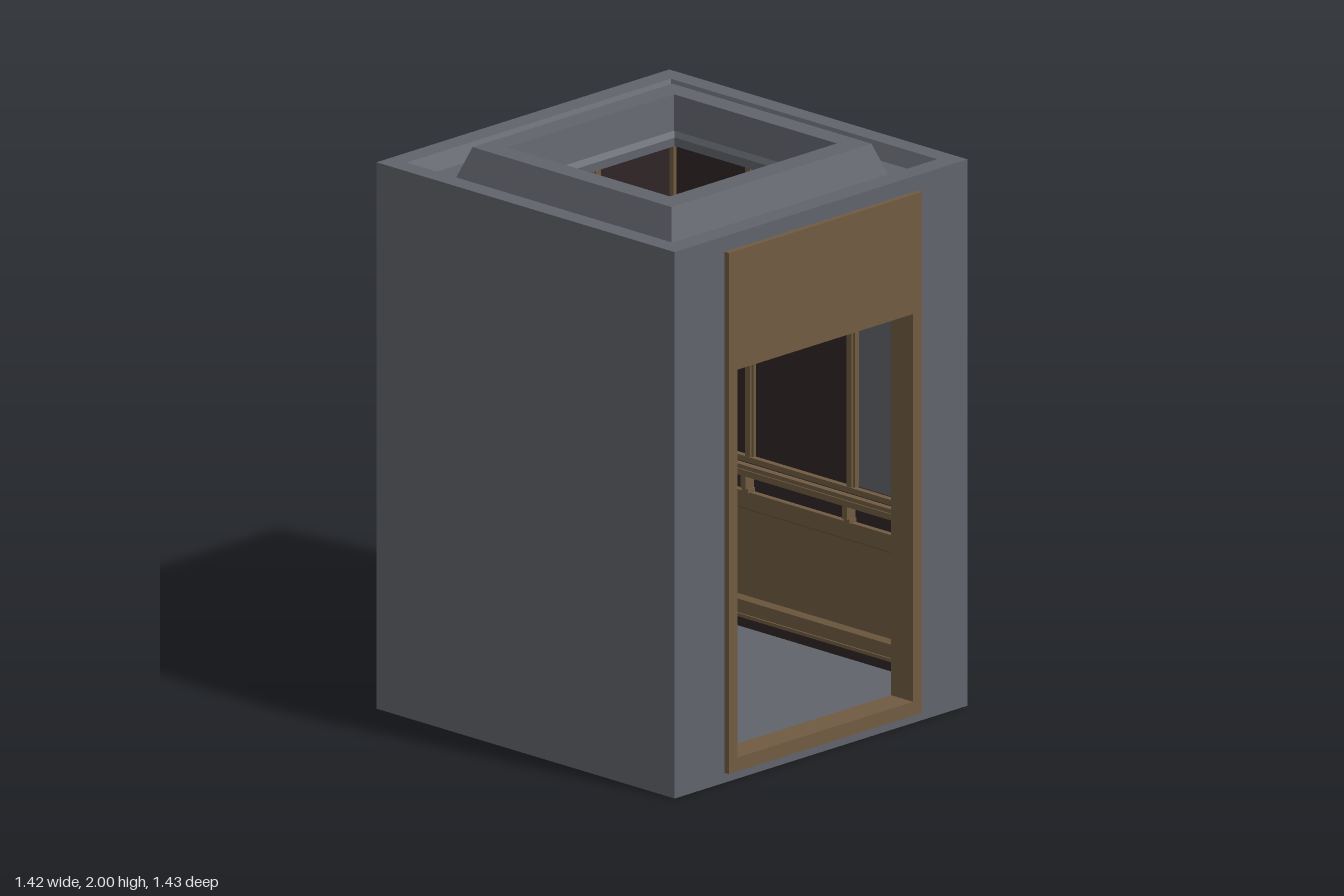
import * as THREE from 'three';

const mat = (name, color, extra = {}) => {
  const m = new THREE.MeshStandardMaterial({ color });
  m.name = name;
  return Object.assign(m, extra);
};

export function createModel() {
  const grey = mat('slate grey', 0x60636b);
  const wood = mat('brown wood', 0x705b41);
  const dark = mat('dark panel', 0x2e2425);
  const root = new THREE.Group();
  root.name = 'liftCabin';

  const add = (parent, name, geo, m, x = 0, y = 0, z = 0) => {
    const mesh = new THREE.Mesh(geo, m);
    mesh.name = name;
    mesh.position.set(x, y, z);
    parent.add(mesh);
    return mesh;
  };
  // box given by its minimum and maximum corners
  const box = (parent, name, m, x0, x1, y0, y1, z0, z1) =>
    add(parent, name, new THREE.BoxGeometry(x1 - x0, y1 - y0, z1 - z0), m,
      (x0 + x1) / 2, (y0 + y1) / 2, (z0 + z1) / 2);
  // closed rectangular moulding: profile entries are [halfX, halfZ, y]
  const moulding = (profile) => {
    const pos = [];
    const signs = [[1, 1], [1, -1], [-1, -1], [-1, 1]];
    const at = (p, k) => [p[0] * signs[k % 4][0], p[2], p[1] * signs[k % 4][1]];
    profile.forEach((p, i) => {
      const q = profile[(i + 1) % profile.length];
      for (let k = 0; k < 4; k++) {
        const a = at(p, k), b = at(p, k + 1), c = at(q, k + 1), d = at(q, k);
        pos.push(...a, ...b, ...c, ...a, ...c, ...d);
      }
    });
    const g = new THREE.BufferGeometry();
    g.setAttribute('position', new THREE.Float32BufferAttribute(pos, 3));
    g.computeVertexNormals();
    return g;
  };
  // upright plate with a rectangular opening; rects are [x0, x1, y0, y1]
  const plate = (outer, hole, depth) => {
    const trace = (path, [x0, x1, y0, y1]) =>
      path.moveTo(x0, y0).lineTo(x1, y0).lineTo(x1, y1).lineTo(x0, y1).closePath();
    const s = trace(new THREE.Shape(), outer);
    s.holes.push(trace(new THREE.Path(), hole));
    return new THREE.ExtrudeGeometry(s, { depth, bevelEnabled: false });
  };

  // outer shell
  const top = 1.83;
  box(root, 'floor', grey, -0.71, 0.71, 0, 0.08, -0.715, 0.695);
  box(root, 'backShell', grey, -0.71, 0.71, 0.08, top, -0.715, -0.62);
  for (const s of [-1, 1]) {
    const x = [s * 0.63, s * 0.71].sort((a, b) => a - b);
    box(root, 'sideShell', grey, x[0], x[1], 0.08, top, -0.62, 0.62);
  }
  add(root, 'frontShell', plate([-0.71, 0.71, 0.08, top], [-0.44, 0.44, 0.081, 1.48], 0.075), grey, 0, 0, 0.62);

  // roof with a sunken channel, a raised collar and an open hatch
  add(root, 'roof', moulding([
    [0.71, 0.705, top], [0.71, 0.705, 1.945], [0.64, 0.63, 1.945], [0.615, 0.605, 1.89],
    [0.525, 0.51, 1.89], [0.485, 0.47, 2], [0.405, 0.385, 2], [0.385, 0.365, 1.88],
    [0.375, 0.353, 1.86], [0.375, 0.353, top],
  ]), grey, 0, 0, -0.01);

  // door surround and its lining
  const opening = [-0.425, 0.425, 0.085, 1.465];
  add(root, 'doorFrame', plate([-0.468, 0.468, 0.035, 1.89], opening, 0.025), wood, 0, 0, 0.69);
  add(root, 'doorLining', plate([-0.468, 0.468, 0.04, top], opening, 0.08), wood, 0, 0, 0.61);

  // one panelled wall, built facing +z
  const wall = (name, len, bays, x, z, turn) => {
    const g = new THREE.Group();
    g.name = name;
    g.position.set(x, 0, z);
    g.rotation.y = turn;
    root.add(g);
    const h = len / 2;
    box(g, 'skirting', dark, -h, h, 0.08, 0.13, 0, 0.008);
    const edge = Math.min(0.08, len * 0.2);
    const frame = moulding([
      [h, 0.225, 0], [h, 0.225, 0.03], [h - edge, 0.165, 0.03],
      [h - edge - 0.012, 0.153, 0.012], [h - edge - 0.012, 0.153, 0],
    ]).rotateX(Math.PI / 2);
    add(g, 'wainscotFrame', frame, wood, 0, 0.35, 0);
    box(g, 'wainscotField', wood, -h + 0.02, h - 0.02, 0.18, 0.52, 0, 0.012);
    box(g, 'wainscotLowerBead', wood, -h, h, 0.125, 0.137, 0.03, 0.036);
    box(g, 'railBacking', dark, -h, h, 0.575, 0.7, 0, 0.008);
    box(g, 'upperRail', wood, -h, h, 0.68, 0.7, 0, 0.03);
    for (const [x0, x1] of bays) box(g, 'upperPanel', dark, x0, x1, 0.7, top, 0, 0.008);
    for (const s of [-1, 1]) {
      box(g, 'cornerStile', wood, s * (h - 0.012) - 0.012, s * (h - 0.012) + 0.012, 0.7, top, 0, 0.025);
    }
    if (len > 1) {
      for (const s of [-0.24, 0.24]) {
        box(g, 'stile', wood, s - 0.02, s + 0.02, 0.7, top, 0, 0.02);
        box(g, 'stileBead', wood, s - 0.011, s + 0.011, 0.7, top, 0.02, 0.028);
        box(g, 'railBracket', wood, s - 0.011, s + 0.011, 0.59, 0.65, 0, 0.05);
        box(g, 'bracketFoot', wood, s - 0.015, s + 0.015, 0.575, 0.59, 0, 0.04);
      }
      box(g, 'handrail', wood, -h + 0.03, h - 0.03, 0.643, 0.665, 0.03, 0.065);
      box(g, 'handrailCap', wood, -h + 0.03, h - 0.03, 0.665, 0.68, 0.035, 0.06);
    }
  };
  const left = [-0.61, -0.24], middle = [-0.24, 0.24], right = [0.24, 0.61];
  wall('backWall', 1.26, [left, middle, right], 0, -0.62, 0);
  wall('rightWall', 1.24, [left, middle], -0.63, 0, Math.PI / 2);
  wall('leftWall', 1.24, [left, middle], 0.63, 0, -Math.PI / 2);
  for (const s of [-1, 1]) wall('frontReturn', 0.16, [[-0.08, 0.08]], s * 0.549, 0.62, Math.PI);

  return root;
}
